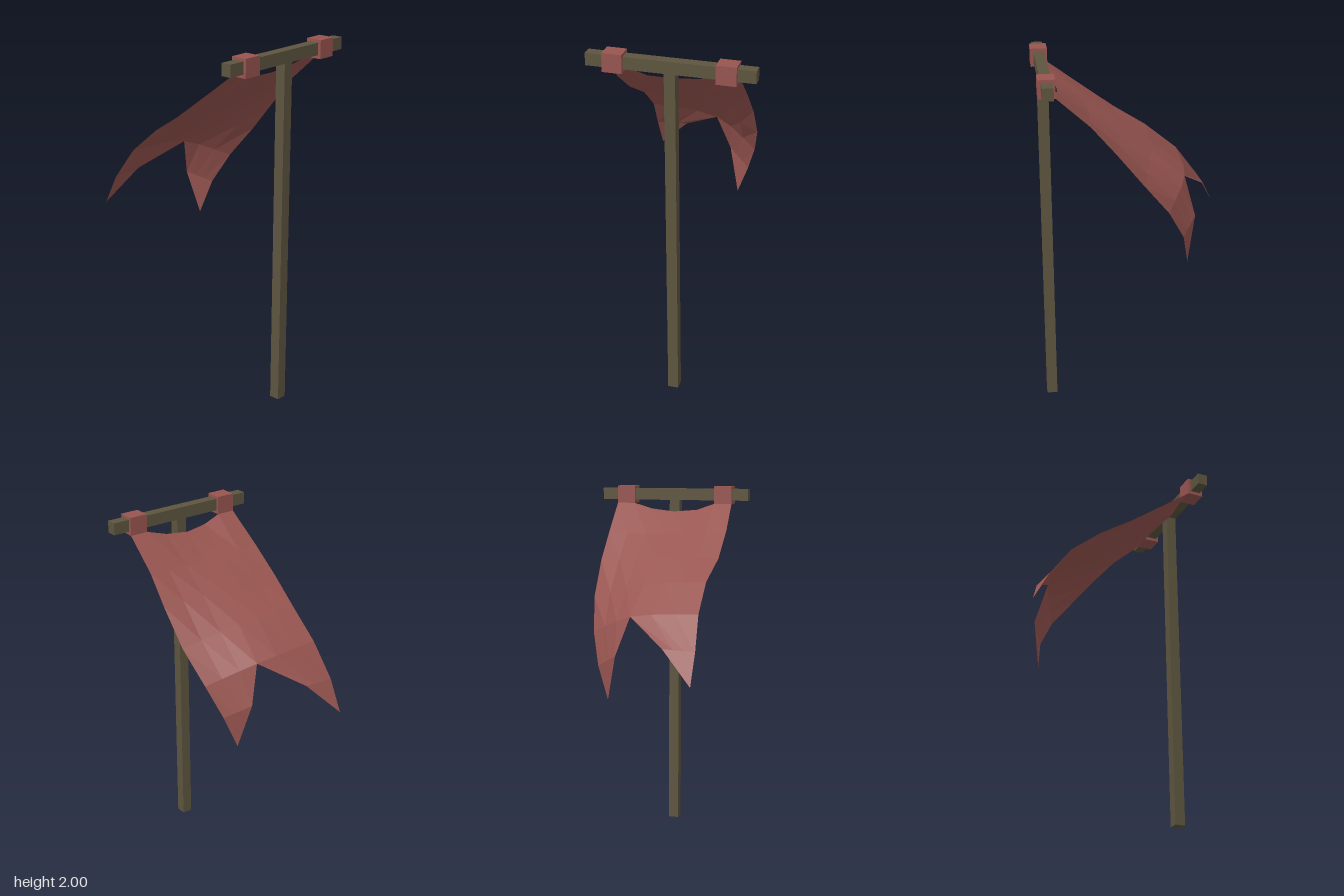
import * as THREE from 'three';

const wood = new THREE.MeshStandardMaterial({ color: 0x5e553f, flatShading: true });
const fabric = new THREE.MeshStandardMaterial({ color: 0x985550, flatShading: true });
const cloth = fabric.clone();
cloth.side = THREE.DoubleSide;

const V = (p) => new THREE.Vector3(...p);

// Evenly sampled smooth curve through a few points
function row(points, segments) {
  return new THREE.CatmullRomCurve3(points.map(V)).getPoints(segments);
}

// Triangles between two rows with the same number of points
function strip(out, a, b) {
  const tri = (...t) => t.forEach((p) => out.push(p.x, p.y, p.z));
  for (let i = 0; i < a.length - 1; i++) {
    tri(a[i], b[i], a[i + 1]);
    if (!b[i].equals(b[i + 1])) tri(a[i + 1], b[i], b[i + 1]);
  }
}

function bannerGeometry() {
  const out = [];
  // Sagging hem between the two loops
  const hem = [
    [-0.343, 1.9, 0.432], [-0.24, 1.9, 0.432], [-0.14, 1.865, 0.425], [-0.01, 1.855, 0.405],
    [0.125, 1.87, 0.41], [0.237, 1.9, 0.432], [0.341, 1.9, 0.432],
  ].map(V);
  // Wind-blown body: right edge, middle and left edge of each row
  const body = [
    [[-0.357, 1.76, 0.25], [0, 1.735, 0.24], [0.338, 1.74, 0.258]],
    [[-0.358, 1.62, 0.06], [0, 1.625, 0.075], [0.343, 1.59, 0.13]],
    [[-0.335, 1.51, -0.12], [0.02, 1.485, -0.1], [0.333, 1.4, -0.02]],
    [[-0.34, 1.36, -0.3], [0.04, 1.33, -0.285], [0.29, 1.22, -0.16]],
  ].map((r) => row(r, 6));
  const rows = [hem, ...body];
  for (let i = 0; i < rows.length - 1; i++) strip(out, rows[i], rows[i + 1]);

  // Two pointed tails either side of the notch
  const last = body[3];
  const tails = [
    { top: last.slice(0, 4), mid: [[-0.357, 1.18, -0.43], [-0.18, 1.19, -0.435]], tip: [-0.355, 1.01, -0.52] },
    { top: last.slice(3), mid: [[0.11, 1.12, -0.335], [0.235, 1.05, -0.25]], tip: [0.168, 0.87, -0.285] },
  ];
  for (const { top, mid, tip } of tails) {
    const [a, b] = mid.map(V);
    const middle = top.map((_, i) => a.clone().lerp(b, i / 3));
    strip(out, top, middle);
    strip(out, middle, middle.map(() => V(tip)));
  }

  const geometry = new THREE.BufferGeometry();
  geometry.setAttribute('position', new THREE.Float32BufferAttribute(out, 3));
  geometry.computeVertexNormals();
  return geometry;
}

export function createModel() {
  const group = new THREE.Group();
  const Z = 0.477;

  const box = (name, material, w, h, d, x, y) => {
    const mesh = new THREE.Mesh(new THREE.BoxGeometry(w, h, d), material);
    mesh.name = name;
    mesh.position.set(x, y, Z);
    group.add(mesh);
  };

  // Wooden frame
  box('pole', wood, 0.058, 1.92, 0.058, 0, 0.96);
  box('crossbar', wood, 0.87, 0.066, 0.058, 0, 1.952);

  // Cloth loops around the crossbar
  box('rightLoop', fabric, 0.104, 0.1, 0.09, -0.291, 1.95);
  box('leftLoop', fabric, 0.104, 0.1, 0.09, 0.289, 1.95);

  // Torn banner
  const banner = new THREE.Mesh(bannerGeometry(), cloth);
  banner.name = 'banner';
  group.add(banner);

  return group;
}
